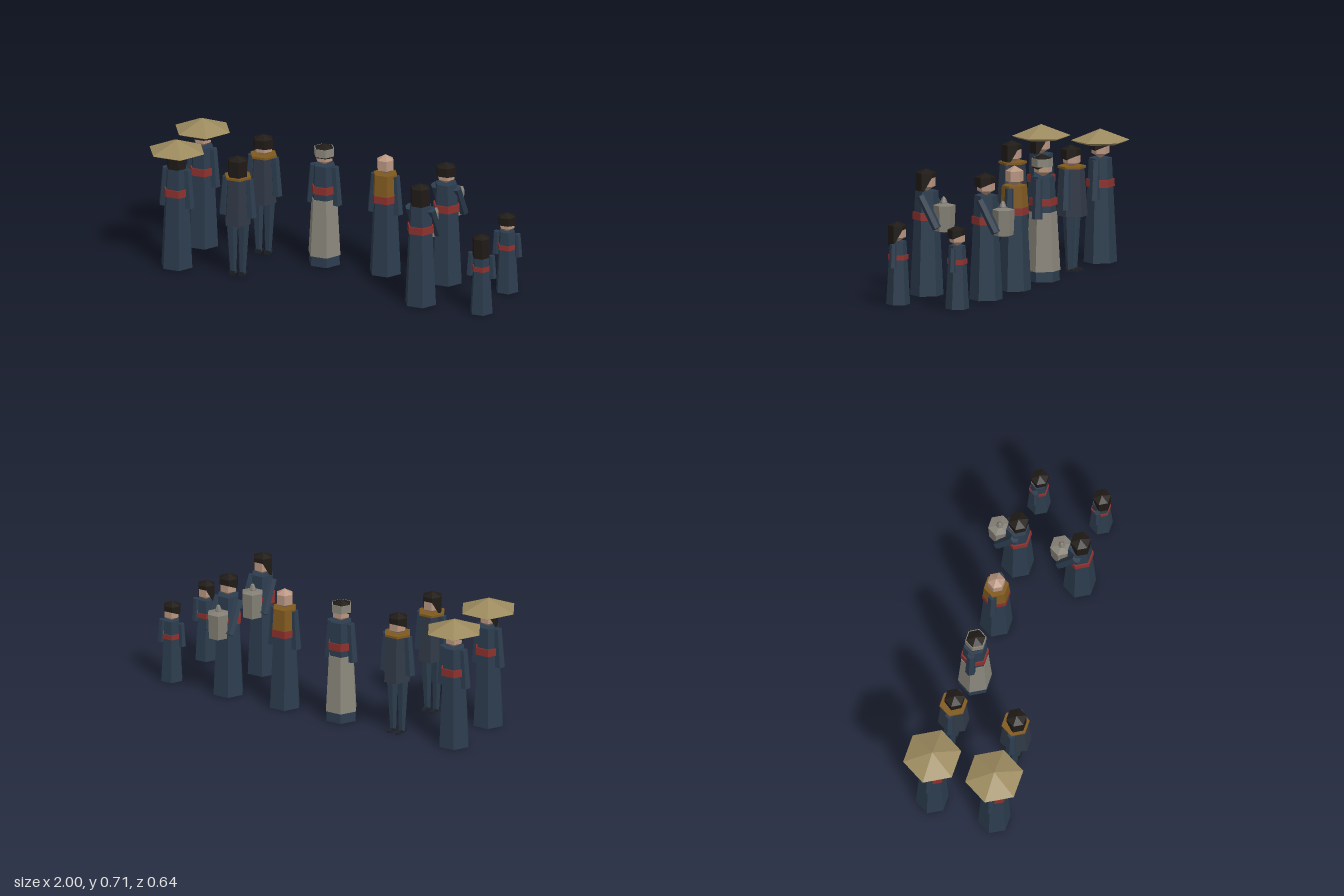
import * as THREE from 'three';

const mat = (color, side = THREE.FrontSide) =>
  new THREE.MeshStandardMaterial({ color, flatShading: true, side });
const M = {
  robe: mat(0x2c3c4d), sash: mat(0x8a302c), hair: mat(0x1f1a16, THREE.DoubleSide),
  skin: mat(0xb89580), straw: mat(0x9c8a5e, THREE.DoubleSide), gold: mat(0x80591f),
  linen: mat(0x8a867b), jar: mat(0x837f75), jacket: mat(0x303946), shoe: mat(0x1d2126),
};

function add(parent, name, geometry, material, x = 0, y = 0, z = 0) {
  const mesh = new THREE.Mesh(geometry, material);
  mesh.name = name;
  mesh.position.set(x, y, z);
  parent.add(mesh);
  return mesh;
}

// Six-sided lathe with corners on the x axis; profile is [radius, y] from the bottom up
const hexLathe = (profile) => new THREE.LatheGeometry(
  profile.map(([r, y]) => new THREE.Vector2(r, y)), 6, Math.PI / 6);

// Closed six-sided band from y0 to y1
const band = (r0, y0, r1, y1) => hexLathe([[0, y0], [r0, y0], [r1, y1], [0, y1]]);

// Tapered six-sided limb between two points
function limb(parent, name, from, to, r0, r1, material) {
  const a = new THREE.Vector3(...from), b = new THREE.Vector3(...to);
  const d = a.clone().sub(b);
  const geo = new THREE.CylinderGeometry(r0, r1, d.length(), 6, 1, false, Math.PI / 6);
  const mesh = add(parent, name, geo, material);
  mesh.position.copy(a).add(b).multiplyScalar(0.5);
  mesh.quaternion.setFromUnitVectors(new THREE.Vector3(0, 1, 0), d.normalize());
}

// Hair cap whose lower edge is set separately for the face side, the sides and the back
function hairGeometry(front, side, back) {
  const geo = hexLathe([[0.055, 0.6], [0.055, 0.654], [0, 0.677]]);
  const p = geo.attributes.position;
  for (let i = 0; i < p.count; i++) {
    if (p.getY(i) > 0.61) continue;
    const z = p.getZ(i);
    p.setY(i, z < -0.01 ? front : z > 0.01 ? back : side);
  }
  return geo;
}

function makeHead(longHair, bald) {
  const head = new THREE.Group();
  head.name = 'head';
  add(head, 'face', hexLathe([[0, 0.555], [0.0475, 0.583], [0.0475, 0.638], [0, 0.666]]), M.skin);
  if (!bald) {
    const geo = longHair ? hairGeometry(0.63, 0.535, 0.533) : hairGeometry(0.622, 0.6, 0.606);
    add(head, 'hair', geo, M.hair, 0, 0, 0.005);
  }
  return head;
}

function sideArms(parent, shoulder, wrist, r0, r1, material = M.robe) {
  for (const s of [-1, 1]) {
    const flip = ([x, y, z]) => [s * x, y, z];
    limb(parent, s < 0 ? 'rightSleeve' : 'leftSleeve', flip(shoulder), flip(wrist), r0, r1, material);
  }
}

function addRobe(g) {
  add(g, 'robe', band(0.089, 0, 0.061, 0.558), M.robe);
  add(g, 'sash', band(0.077, 0.405, 0.075, 0.445), M.sash);
}

const hangingArms = (g) => sideArms(g, [0.06, 0.55, 0], [0.073, 0.338, 0], 0.023, 0.029);

// Each kind of villager adds its own clothes; all face -z
const kinds = {
  hat(g) {
    addRobe(g);
    hangingArms(g);
    add(g, 'strawHat', hexLathe([[0, 0.655], [0.121, 0.637], [0.157, 0.652], [0, 0.713]]), M.straw);
  },
  jacket(g) {
    const coat = add(g, 'jacket', band(0.088, 0.298, 0.07, 0.557), M.jacket);
    coat.scale.x = 0.84;
    add(g, 'collar', band(0.076, 0.553, 0.076, 0.565), M.gold);
    sideArms(g, [0.066, 0.55, 0], [0.079, 0.338, 0], 0.023, 0.029);
    for (const s of [-1, 1]) {
      limb(g, 'trouserLeg', [s * 0.033, 0.33, 0], [s * 0.027, 0.01, 0], 0.035, 0.018, M.robe);
      // Shoe narrowing to a low toe
      const shoe = new THREE.BoxGeometry(0.032, 0.024, 0.07);
      const p = shoe.attributes.position;
      for (let i = 0; i < p.count; i++) {
        if (p.getZ(i) > 0) continue;
        p.setX(i, p.getX(i) * 0.5);
        if (p.getY(i) > 0) p.setY(i, -0.004);
      }
      add(g, 'shoe', shoe, M.shoe, s * 0.027, 0.012, -0.016);
    }
  },
  apron(g) {
    addRobe(g);
    hangingArms(g);
    add(g, 'apron', band(0.092, 0.055, 0.074, 0.37), M.linen);
    add(g, 'headband', band(0.0575, 0.611, 0.0575, 0.655), M.linen, 0, 0, 0.005);
  },
  vest(g) {
    addRobe(g);
    hangingArms(g);
    add(g, 'vest', band(0.074, 0.445, 0.067, 0.561), M.gold);
  },
  carrier(g) {
    addRobe(g);
    sideArms(g, [0.061, 0.538, 0.004], [0.063, 0.369, -0.091], 0.025, 0.025);
    // Lidded jar held in front
    add(g, 'jar', hexLathe([[0, 0.337], [0.055, 0.35], [0.061, 0.487], [0, 0.5]]), M.jar, 0, 0, -0.102);
    add(g, 'jarKnob', hexLathe([[0.02, 0.488], [0.019, 0.502], [0.01, 0.526], [0, 0.534]]), M.jar, 0, 0, -0.1);
  },
  child(g) {
    add(g, 'robe', band(0.064, 0, 0.044, 0.338), M.robe);
    add(g, 'sash', band(0.055, 0.24, 0.054, 0.266), M.sash);
    sideArms(g, [0.06, 0.328, 0], [0.066, 0.202, 0], 0.0165, 0.021);
  },
};

export function createModel() {
  const model = new THREE.Group();
  model.name = 'villagers';
  const rows = [{ z: -0.165, longHair: false }, { z: 0.182, longHair: true }];
  Object.keys(kinds).forEach((kind, i) => {
    for (const { z, longHair } of rows) {
      // The apron and vest villagers stand only in the back row
      if (longHair && (kind === 'apron' || kind === 'vest')) continue;
      const figure = new THREE.Group();
      figure.name = kind + (longHair ? 'Woman' : 'Man');
      if (kind === 'child') figure.name = longHair ? 'girl' : 'boy';
      figure.position.set(-0.843 + 0.3507 * i, 0, z);
      kinds[kind](figure);
      const head = makeHead(longHair, kind === 'vest');
      if (kind === 'child') {
        head.scale.setScalar(0.89);
        head.position.y = -0.16;
      }
      figure.add(head);
      model.add(figure);
    }
  });
  return model;
}
